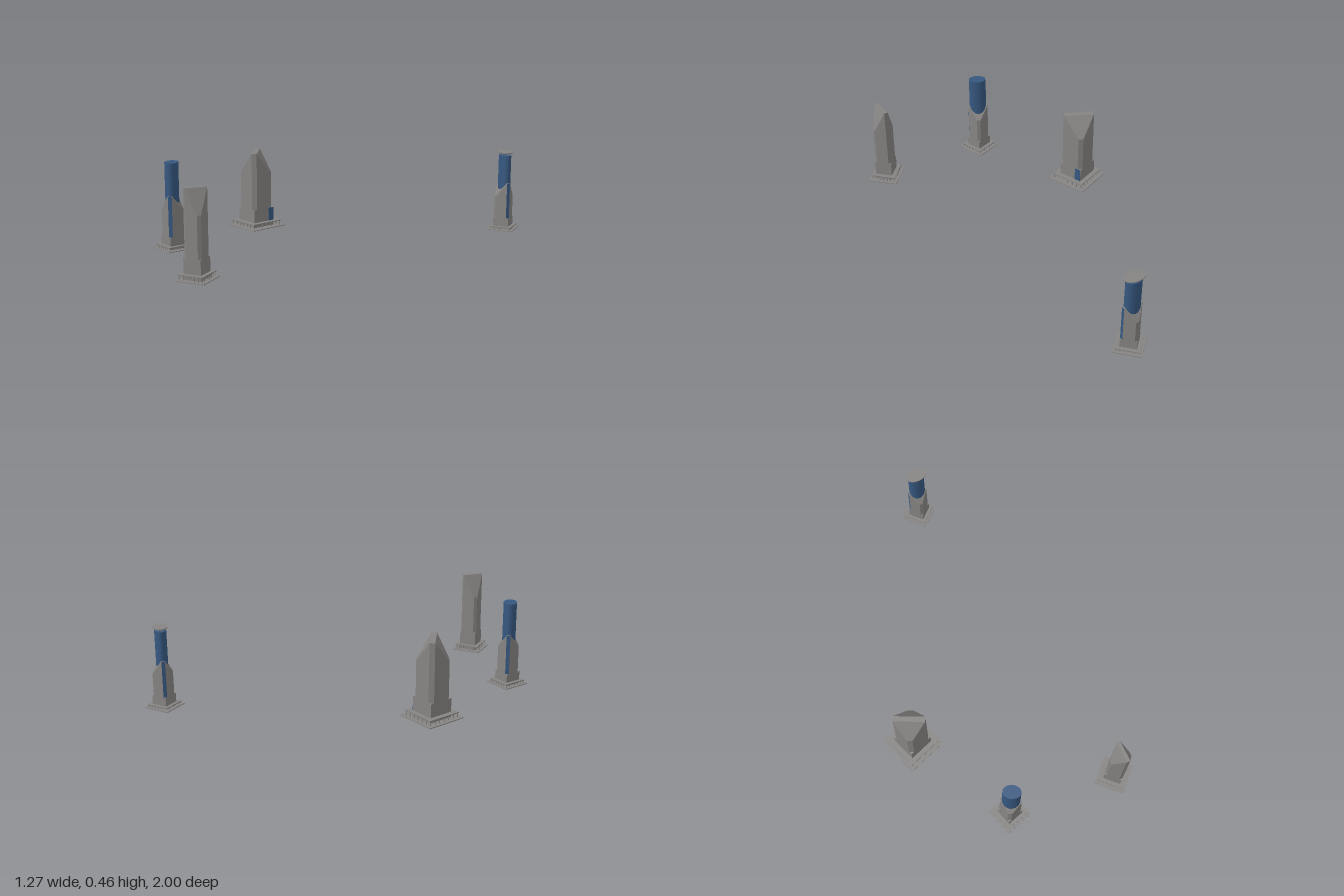
import * as THREE from 'three';

const concrete = new THREE.MeshStandardMaterial({ color: 0x868482 });
concrete.name = 'concrete grey';
const glass = new THREE.MeshStandardMaterial({ color: 0x36577f });
glass.name = 'glass blue';

function add(parent, name, geometry, material, x = 0, y = 0, z = 0) {
  const mesh = new THREE.Mesh(geometry, material);
  mesh.name = name;
  mesh.position.set(x, y, z);
  parent.add(mesh);
  return mesh;
}

// Square shaft with cut corners; two opposite corners rise to a ridge, the other two slope down
function shaftGeometry(h, w, base, ridge, eave) {
  const k = h - w * Math.SQRT2;
  const ring = [[h, k], [k, h], [-k, h], [-h, k], [-h, -k], [-k, -h], [k, -h], [h, -k]];
  const high = [0, 1, 4, 5];
  const low = ring.map(([x, z]) => [x, base, z]);
  const top = ring.map(([x, z], i) => [x, high.includes(i) ? ridge : eave, z]);
  const positions = [];
  const geometry = new THREE.BufferGeometry();
  const quad = (a, b, c, d, material) => {
    geometry.addGroup(positions.length / 3, 6, material);
    positions.push(...a, ...b, ...c, ...a, ...c, ...d);
  };
  for (let i = 0; i < 8; i++) {
    const j = (i + 1) % 8;
    quad(low[i], top[i], top[j], low[j], i === 0 || i === 4 ? 1 : 0);
  }
  quad(top[5], top[4], top[1], top[0], 0);
  quad(top[4], top[3], top[2], top[1], 0);
  quad(top[0], top[7], top[6], top[5], 0);
  geometry.setAttribute('position', new THREE.Float32BufferAttribute(positions, 3));
  geometry.computeVertexNormals();
  return geometry;
}

// Ground slab and raised deck on a row of posts along each side
function addPodium(tower, side, deckY) {
  add(tower, 'groundSlab', new THREE.BoxGeometry(side, 0.004, side), concrete, 0, 0.002, 0);
  const deck = side * 0.84;
  add(tower, 'deck', new THREE.BoxGeometry(deck, 0.005, deck), concrete, 0, deckY - 0.0025, 0);
  const post = new THREE.BoxGeometry(0.003, deckY - 0.005, 0.003);
  const r = deck / 2 - 0.004;
  const n = 6;
  for (let i = 0; i < n; i++) {
    const t = -r + (2 * r * i) / n;
    for (const [x, z] of [[t, -r], [r, t], [-t, r], [-r, -t]]) {
      add(tower, 'deckPost', post, concrete, x, (deckY - 0.005) / 2, z);
    }
  }
}

// Oval column whose long axis follows the ridge
function oval(parent, name, a, b, y0, y1, material) {
  const mesh = add(parent, name, new THREE.CylinderGeometry(1, 1, y1 - y0, 40), material, 0, (y0 + y1) / 2, 0);
  mesh.scale.set(a, 1, b);
  mesh.rotation.y = -Math.PI / 4;
  return mesh;
}

function makeTower(o) {
  const tower = new THREE.Group();
  tower.name = o.name;
  addPodium(tower, o.side, o.deckY);
  const h = o.half;
  add(tower, 'plinth', new THREE.BoxGeometry(2 * h, o.step, 2 * h), concrete, 0, o.step / 2, 0);
  const geometry = shaftGeometry(h, o.cut, o.step, o.ridge, o.eave);
  add(tower, 'shaft', geometry, [concrete, o.column ? glass : concrete]);
  if (o.column) {
    const [a, b, top] = o.column;
    oval(tower, 'glassColumn', a, b, o.step, top, glass);
    if (o.cap) {
      // Roof disc on a ring of short posts
      oval(tower, 'roofDisc', a * 1.25, b * 1.25, o.cap - 0.005, o.cap, concrete);
      const ringGroup = new THREE.Group();
      ringGroup.name = 'roofPosts';
      ringGroup.rotation.y = -Math.PI / 4;
      const post = new THREE.BoxGeometry(0.003, o.cap - 0.005 - top, 0.003);
      for (let i = 0; i < 10; i++) {
        const t = (i * Math.PI) / 5;
        add(ringGroup, 'roofPost', post, concrete, a * 0.75 * Math.cos(t), (top + o.cap - 0.005) / 2, b * 0.75 * Math.sin(t));
      }
      tower.add(ringGroup);
    }
  }
  if (o.entrance) {
    // Glazed corner in the plinth
    const height = o.step - o.deckY;
    add(tower, 'entranceGlass', new THREE.BoxGeometry(0.004, height, 0.035), glass, h, o.deckY + height / 2, -h + 0.0185);
  }
  tower.position.set(o.x, 0, o.z);
  tower.rotation.y = THREE.MathUtils.degToRad(o.turn);
  return tower;
}

export function createModel() {
  const model = new THREE.Group();
  model.name = 'towers';
  const towers = [
    { name: 'largeWedgeTower', x: -0.51, z: -0.026, turn: -5.3, side: 0.227, deckY: 0.032, half: 0.068, cut: 0.014,
      step: 0.105, ridge: 0.42, eave: 0.305, entrance: true },
    { name: 'slimWedgeTower', x: 0.045, z: 0.9, turn: 109.6, side: 0.159, deckY: 0.033, half: 0.0465, cut: 0.01,
      step: 0.11, ridge: 0.447, eave: 0.322 },
    { name: 'columnTower', x: -0.47, z: 0.612, turn: -8, side: 0.154, deckY: 0.023, half: 0.0455, cut: 0.01,
      step: 0.07, ridge: 0.286, eave: 0.212, column: [0.047, 0.035, 0.456] },
    { name: 'cappedColumnTower', x: 0.542, z: -0.909, turn: 17.5, side: 0.144, deckY: 0.019, half: 0.0425, cut: 0.009,
      step: 0.065, ridge: 0.261, eave: 0.187, column: [0.044, 0.03, 0.413], cap: 0.432 },
  ];
  for (const o of towers) model.add(makeTower(o));
  return model;
}
